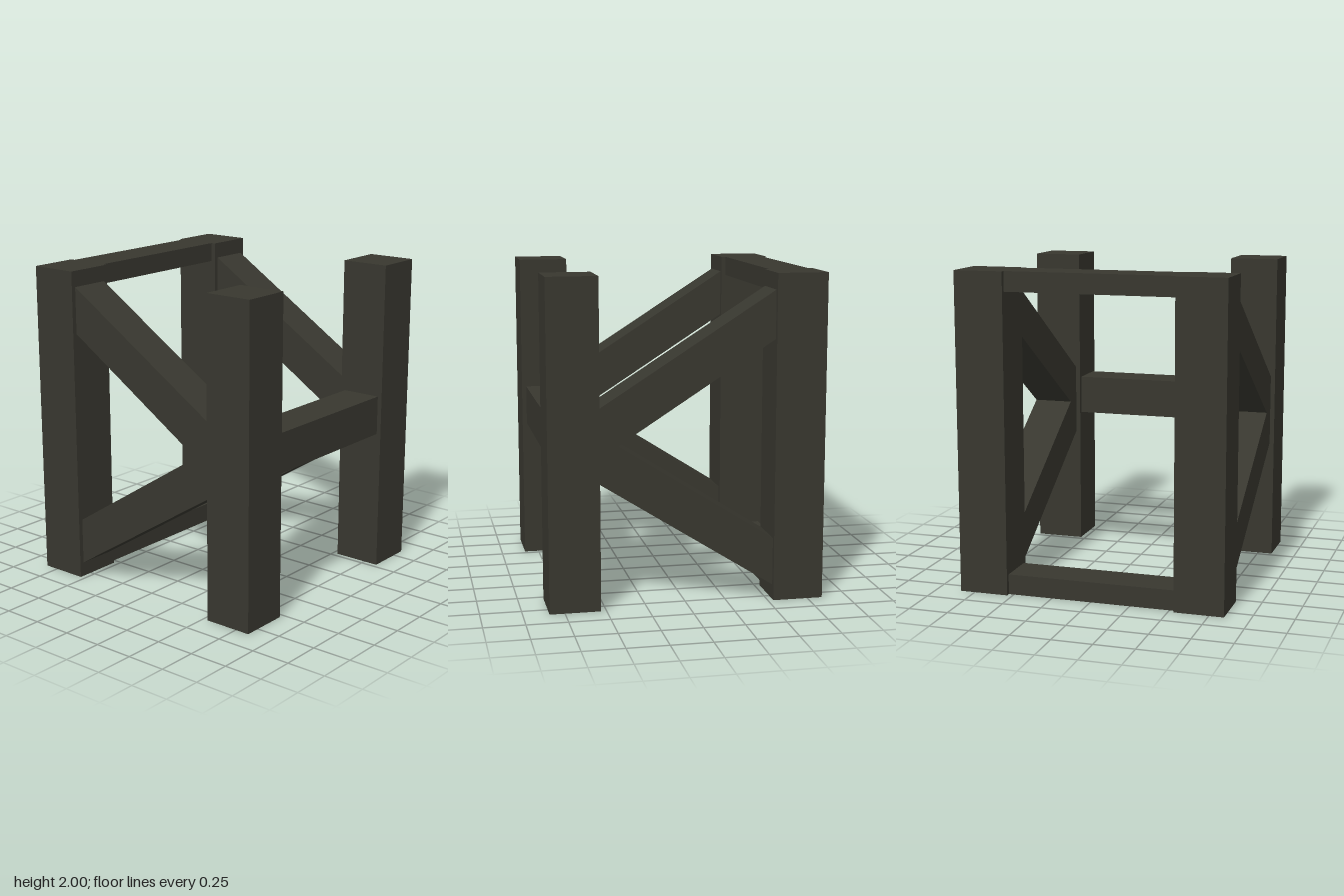
import * as THREE from 'three';

export function createModel() {
  const group = new THREE.Group();
  group.name = 'timberFrame';
  const wood = new THREE.MeshStandardMaterial({ color: 0x38372f });
  wood.name = 'dark timber';

  const outer = 0.843, inner = 0.533; // extents of the posts
  const mid = (outer + inner) / 2, post = outer - inner, beam = 0.253;

  function add(name, geometry, x, y, z) {
    const mesh = new THREE.Mesh(geometry, wood);
    mesh.name = name;
    mesh.position.set(x, y, z);
    group.add(mesh);
  }

  // Four corner posts
  for (const [side, x] of [['left', mid], ['right', -mid]])
    for (const [end, z] of [['Front', mid], ['Back', -mid]])
      add(side + end + 'Post', new THREE.BoxGeometry(post, 2, post), x, 1, z);

  // Crossbeams running front to back
  const crossbeam = (name, x, bottom, top) =>
    add(name, new THREE.BoxGeometry(beam, top - bottom, inner * 2), x, (bottom + top) / 2, 0);
  crossbeam('middleBeam', mid, 0.9, 1.15);
  crossbeam('topBeam', -mid, 1.877, 2);
  crossbeam('bottomBeam', -mid, 0, 0.127);

  // V-shaped pair of diagonal braces on the front and back
  const braces = new THREE.Shape([
    [-inner, 0.092], [inner, 0.77], [inner, 1.222], [-inner, 1.9],
    [-inner, 1.606], [0.42, 0.996], [-inner, 0.386],
  ].map(([x, y]) => new THREE.Vector2(x, y)));
  for (const [name, z] of [['frontBraces', mid], ['backBraces', -mid]])
    add(name, new THREE.ExtrudeGeometry(braces, { depth: beam, bevelEnabled: false }), 0, 0, z - beam / 2);

  return group;
}
